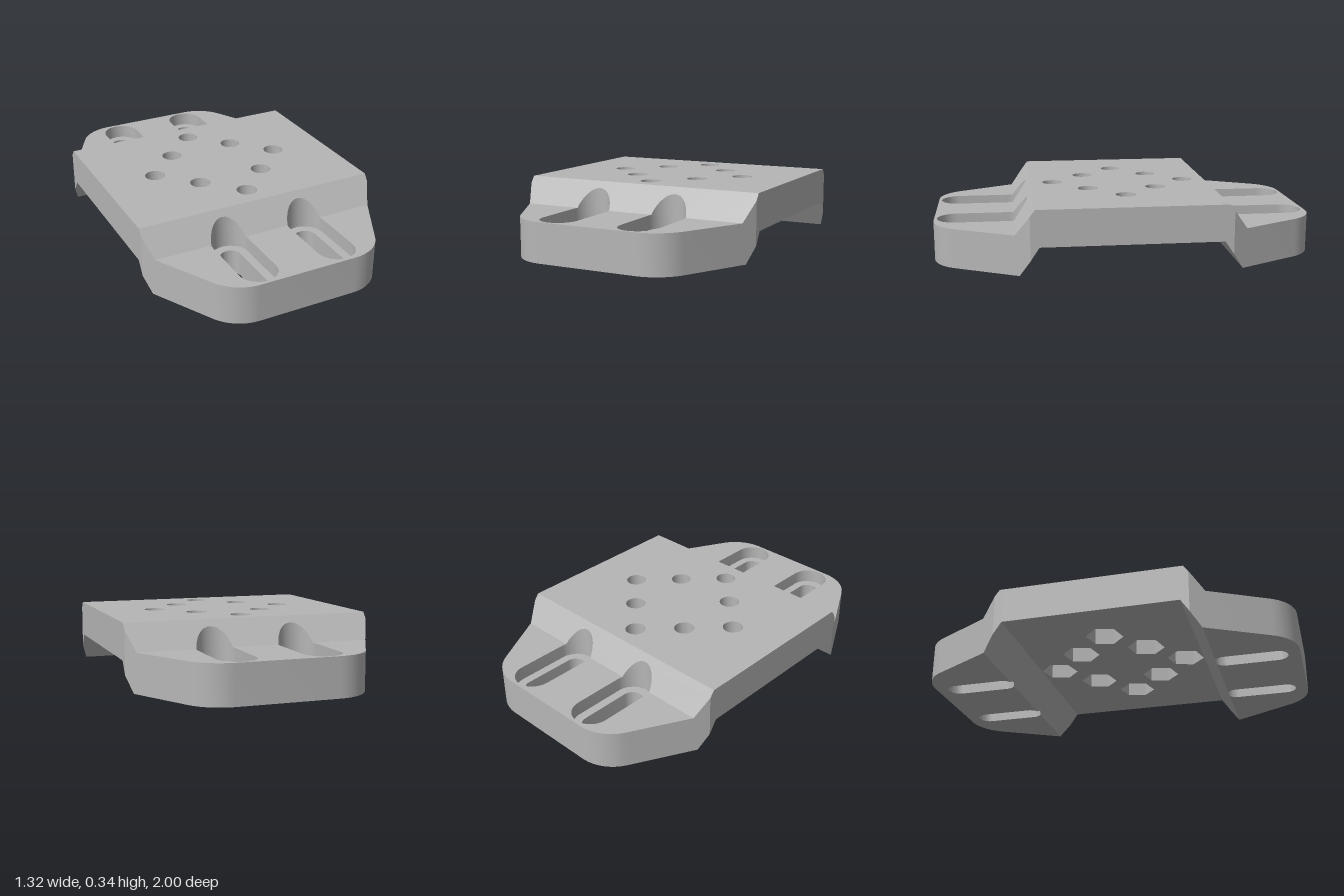
import * as THREE from 'three';
import { toCreasedNormals } from 'three/addons/utils/BufferGeometryUtils.js';

// Side profile: |z| positions where the top and underside bend
const TOP = { z0: 0.485, z1: 0.585, inner: 0.34, outer: 0.205 };
const BOTTOM = { z0: 0.465, z1: 0.565, inner: 0.15, outer: 0 };
const LEDGE = 0.13, POCKET = 0.26;

const profile = (p) => (z) => {
  const t = THREE.MathUtils.clamp((Math.abs(z) - p.z0) / (p.z1 - p.z0), 0, 1);
  return p.inner + (p.outer - p.inner) * t;
};
const topY = profile(TOP), bottomY = profile(BOTTOM);
const level = (y) => () => y;
const BREAKS = [TOP, BOTTOM].flatMap((p) => [p.z0, p.z1, -p.z0, -p.z1]).sort((a, b) => a - b);

const V = (x, z) => new THREE.Vector2(x, z);
// Plan arc, counter-clockwise in (x, z)
function arc(cx, cz, r, a0, a1, n) {
  return Array.from({ length: n + 1 }, (_, i) => {
    const a = a0 + ((a1 - a0) * i) / n;
    return V(cx + r * Math.cos(a), cz + r * Math.sin(a));
  });
}
const ring = (cx, cz, r, n, start = 0) => arc(cx, cz, r, start, start + Math.PI * 2, n).slice(0, n);
const slotLoop = (cx, z0, z1, r) => [
  ...arc(cx, z1, r, 0, Math.PI, 16), ...arc(cx, z0, r, Math.PI, Math.PI * 2, 16)];

// Plan outline: straight sides, tapered ends, rounded corners
function outlineLoop() {
  const corner = arc(0.265, 0.78, 0.22, 0.492, Math.PI / 2, 14);
  const q = [V(0.66, 0.51), ...corner];
  const flip = (sx, sz) => q.map((p) => V(p.x * sx, p.y * sz));
  return [...q, ...flip(-1, 1).reverse(), ...flip(-1, -1), ...flip(1, -1).reverse()];
}

// Keep the part of a plan polygon on one side of z = limit
function clip(poly, limit, side) {
  const out = [];
  poly.forEach((a, i) => {
    const b = poly[(i + 1) % poly.length];
    const da = (a.y - limit) * side, db = (b.y - limit) * side;
    if (da >= 0) out.push(a);
    if ((da > 0 && db < 0) || (da < 0 && db > 0)) out.push(a.clone().lerp(b, da / (da - db)));
  });
  return out;
}

function finish(pos) {
  const g = new THREE.BufferGeometry();
  g.setAttribute('position', new THREE.Float32BufferAttribute(pos, 3));
  return toCreasedNormals(g, 0.45);
}

// Sheet with holes that follows a height profile
function sheet(contour, holes, yOf, up) {
  const pos = [], pts = [contour, ...holes].flat();
  const bands = [-2, ...BREAKS, 2];
  for (const f of THREE.ShapeUtils.triangulateShape(contour, holes)) {
    const tri = f.map((i) => pts[i]);
    for (let k = 0; k < bands.length - 1; k++) {
      const poly = clip(clip(tri, bands[k], 1), bands[k + 1], -1);
      for (let i = 1; i < poly.length - 1; i++) {
        const t = [poly[0], poly[i], poly[i + 1]];
        const area = THREE.ShapeUtils.area(t);
        if (Math.abs(area) < 1e-9) continue;
        if (area > 0 === up) t.reverse();
        t.forEach((p) => pos.push(p.x, yOf(p.y), p.y));
      }
    }
  }
  return finish(pos);
}

// Upright wall along a loop, split where the profile bends
function wall(loop, low, high, outward) {
  const pos = [];
  loop.forEach((a, i) => {
    const b = loop[(i + 1) % loop.length];
    if (a.distanceTo(b) < 1e-6) return;
    const cuts = BREAKS.map((z) => (z - a.y) / (b.y - a.y))
      .filter((t) => t > 1e-5 && t < 1 - 1e-5).sort((s, t) => s - t);
    const ts = [0, ...cuts, 1];
    for (let k = 0; k < ts.length - 1; k++) {
      let p = a.clone().lerp(b, ts[k]), q = a.clone().lerp(b, ts[k + 1]);
      if (!outward) [p, q] = [q, p];
      const pl = [p.x, low(p.y), p.y], ph = [p.x, high(p.y), p.y];
      const ql = [q.x, low(q.y), q.y], qh = [q.x, high(q.y), q.y];
      pos.push(...pl, ...ph, ...qh, ...pl, ...qh, ...ql);
    }
  });
  return finish(pos);
}

export function createModel() {
  const model = new THREE.Group();
  model.name = 'mountingPlate';
  const grey = new THREE.MeshStandardMaterial({ color: 0xb6b6b6 });
  grey.name = 'plain grey';
  const add = (name, geometry, parent = model) => {
    const m = new THREE.Mesh(geometry, grey);
    m.name = name;
    parent.add(m);
  };

  // Eight bolt holes on a diamond, with hexagonal nut pockets below
  const bolts = [];
  for (let i = 0; i < 8; i++) {
    const r = i % 2 ? 0.183 * Math.SQRT2 : 0.365, a = (i * Math.PI) / 4;
    const x = r * Math.cos(a), z = r * Math.sin(a);
    bolts.push({ round: ring(x, z, 0.054, 28), hex: ring(x, z, 0.1, 6, -Math.PI / 4) });
  }

  // Four slots in wider recesses at the two ends
  const slots = [];
  for (const x of [-0.22, 0.22]) {
    for (const z of [-0.7475, 0.7475]) {
      slots.push({
        recess: slotLoop(x, z - 0.1375, z + 0.1375, 0.1),
        slot: slotLoop(x, z - 0.135, z + 0.135, 0.055),
      });
    }
  }

  // Plate body
  const outline = outlineLoop();
  add('topSurface', sheet(outline, [...bolts.map((b) => b.round), ...slots.map((s) => s.recess)], topY, true));
  add('underside', sheet(outline, [...bolts.map((b) => b.hex), ...slots.map((s) => s.slot)], bottomY, false));
  add('outerEdge', wall(outline, bottomY, topY, true));

  for (const b of bolts) {
    const g = new THREE.Group();
    g.name = 'boltHole';
    add('boltBore', wall(b.round, level(POCKET), topY, false), g);
    add('pocketCeiling', sheet(b.hex, [b.round], level(POCKET), false), g);
    add('nutPocket', wall(b.hex, bottomY, level(POCKET), false), g);
    model.add(g);
  }
  for (const s of slots) {
    const g = new THREE.Group();
    g.name = 'mountingSlot';
    add('recessWall', wall(s.recess, level(LEDGE), topY, false), g);
    add('recessLedge', sheet(s.recess, [s.slot], level(LEDGE), true), g);
    add('slotWall', wall(s.slot, bottomY, level(LEDGE), false), g);
    model.add(g);
  }
  return model;
}
